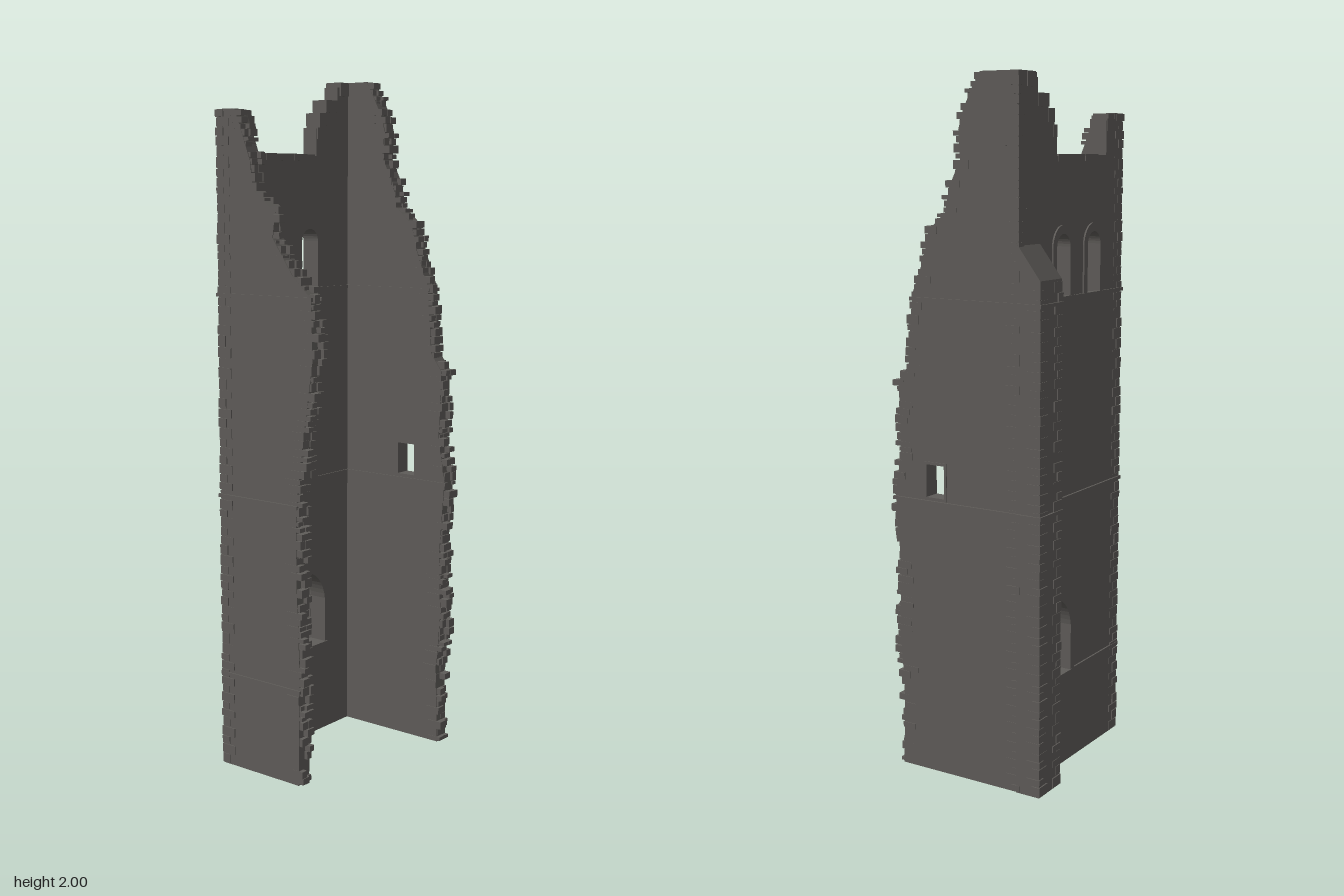
import * as THREE from 'three';
import { mergeGeometries } from 'three/addons/utils/BufferGeometryUtils.js';

// wall planes
const OUT = 0.287, INN = 0.24, BACK = -0.187, FACE = -0.136;

// front edge of each ruined side wall: [height, z]
const rightEdge = [[0, 0.215], [0.23, 0.215], [0.4, 0.228], [0.6, 0.222], [0.82, 0.238], [0.95, 0.215],
  [1.15, 0.222], [1.2, 0.185], [1.4, 0.17], [1.5, 0.13], [1.58, 0.11], [1.63, 0.055], [1.7, 0.04],
  [1.77, 0.005], [1.85, 0.01], [1.9, -0.005], [1.95, -0.03], [2, -0.06]];
const leftEdge = [[0, 0.1], [0.35, 0.11], [0.6, 0.1], [0.8, 0.1], [1, 0.125], [1.22, 0.16], [1.39, 0.155],
  [1.45, 0.09], [1.55, 0.02], [1.62, 0.03], [1.68, -0.05], [1.76, -0.06], [1.85, -0.095], [1.9, -0.115]];

function edgeAt(edge, y) {
  for (let i = 1; i < edge.length; i++) {
    const [y0, z0] = edge[i - 1], [y1, z1] = edge[i];
    if (y <= y1) return z0 + (z1 - z0) * (y - y0) / (y1 - y0);
  }
  return edge[edge.length - 1][1];
}

let seed = 7;
function rand(a, b) {
  seed = (seed * 16807) % 2147483647;
  return a + (b - a) * seed / 2147483647;
}

// box given by its limits
function block(x0, x1, y0, y1, z0, z1) {
  return new THREE.BoxGeometry(x1 - x0, y1 - y0, z1 - z0)
    .translate((x0 + x1) / 2, (y0 + y1) / 2, (z0 + z1) / 2);
}

// arched outline; pointed or round head
function archPath(Type, cx, half, y0, spring, top, pointed) {
  const p = new Type();
  p.moveTo(cx - half, y0);
  p.lineTo(cx + half, y0);
  p.lineTo(cx + half, spring);
  if (pointed) {
    p.quadraticCurveTo(cx + half * 0.85, spring + (top - spring) * 0.7, cx, top);
    p.quadraticCurveTo(cx - half * 0.85, spring + (top - spring) * 0.7, cx - half, spring);
  } else {
    p.absellipse(cx, spring, half, top - spring, 0, Math.PI, false);
  }
  p.lineTo(cx - half, y0);
  return p;
}

function rectPath(Type, x0, x1, y0, y1) {
  return new Type([[x0, y0], [x1, y0], [x1, y1], [x0, y1]].map(p => new THREE.Vector2(...p)));
}

function extrude(shape, depth) {
  return new THREE.ExtrudeGeometry(shape, { depth, bevelEnabled: false, curveSegments: 8 });
}

// extrude a (-z, y) outline along x from x0 to x1
function extrudeX(shape, x0, x1) {
  return extrude(shape, x1 - x0).rotateY(Math.PI / 2).translate(x0, 0, 0);
}

export function createModel() {
  const tower = new THREE.Group();
  tower.name = 'ruinedTower';
  const stone = new THREE.MeshStandardMaterial({ color: 0x5f5c59 });
  stone.name = 'weatheredStone';
  const add = (name, ...geos) => {
    const geo = geos.length > 1 ? mergeGeometries(geos.map(g => g.index ? g.toNonIndexed() : g)) : geos[0];
    const mesh = new THREE.Mesh(geo, stone);
    mesh.name = name;
    tower.add(mesh);
  };

  // back wall with broken top, twin belfry windows and pointed doorway
  const openings = [[-0.115, 0.037, 1.39, 1.53, 1.567, false], [0.058, 0.037, 1.39, 1.53, 1.567, false],
    [0.066, 0.061, 0.28, 0.42, 0.51, true]];
  const outline = [[-OUT, 0], [OUT, 0], [OUT, 2], [0.2, 2], [0.2, 1.985], [0.19, 1.985], [0.19, 1.94], [0.135, 1.94],
    [0.135, 1.9], [0.105, 1.9], [0.105, 1.86], [0.09, 1.86], [0.09, 1.78], [-0.19, 1.78],
    [-0.19, 1.88], [-0.2, 1.88], [-0.2, 1.9], [-OUT, 1.9]];
  const backShape = new THREE.Shape(outline.map(p => new THREE.Vector2(...p)));
  for (const o of openings) backShape.holes.push(archPath(THREE.Path, ...o));
  add('backWall', extrude(backShape, FACE - BACK).translate(0, 0, BACK));

  // raised surrounds on the outer face
  openings.forEach(([cx, half, y0, spring, top, pointed], i) => {
    const ring = archPath(THREE.Shape, cx, half + 0.02, y0, spring, top + 0.025, pointed);
    ring.holes.push(archPath(THREE.Path, cx, half, y0 + 0.0005, spring, top, pointed));
    add(i < 2 ? 'windowSurround' : 'doorSurround', extrude(ring, 0.006).translate(0, 0, BACK - 0.005));
  });
  add('doorSill', block(-0.005, 0.137, 0.268, 0.281, BACK - 0.006, FACE + 0.004));

  // side walls following their broken edges
  function sideWall(name, edge, x0, x1, hole) {
    const pts = [[-FACE, 0], [-FACE, edge[edge.length - 1][0]]];
    for (const [y, z] of [...edge].reverse()) pts.push([-z + (y > 0 ? 0.006 : 0), y]);
    const shape = new THREE.Shape(pts.map(p => new THREE.Vector2(...p)));
    if (hole) shape.holes.push(hole);
    add(name, extrudeX(shape, x0, x1));
  }
  sideWall('rightWall', rightEdge, INN, OUT, rectPath(THREE.Path, -0.12, -0.06, 0.825, 0.92));
  sideWall('leftWall', leftEdge, -OUT, -INN);
  const frame = rectPath(THREE.Shape, -0.128, -0.052, 0.817, 0.928);
  frame.holes.push(rectPath(THREE.Path, -0.12, -0.06, 0.825, 0.92));
  add('slitWindowSurround', extrudeX(frame, OUT - 0.001, OUT + 0.003));

  // ragged stones toothing out of the broken edges
  function toothing(name, edge, x0, x1) {
    const stones = [], top = edge[edge.length - 1][0];
    for (let y = 0.004; y < top - 0.012;) {
      const h = Math.min(rand(0.014, 0.028), top - y);
      const split = x0 + (x1 - x0) * rand(0.35, 0.65);
      for (const [a, b] of [[x0 + rand(-0.003, 0.003), split], [split, x1 + rand(-0.003, 0.003)]]) {
        const z = edgeAt(edge, y + h / 2) + rand(-0.008, 0.018);
        stones.push(block(a, b, y, y + h - rand(0.001, 0.005), Math.max(z - rand(0.035, 0.055), FACE), z));
      }
      y += h;
    }
    add(name, ...stones);
  }
  toothing('rightBrokenEdge', rightEdge, INN, OUT);
  toothing('leftBrokenEdge', leftEdge, -OUT, -INN);

  // loose stones along the broken top of the back wall
  const rubble = [];
  for (let x = -0.19; x < 0.08;) {
    const w = Math.min(rand(0.03, 0.075), 0.09 - x);
    rubble.push(block(x, x + w, 1.765, 1.78 + rand(0.001, 0.007), BACK - rand(0, 0.003), FACE + rand(0, 0.004)));
    x += w;
  }
  for (const [x0, x1, y] of [[0.092, 0.11, 1.86], [0.105, 0.137, 1.9], [0.135, 0.19, 1.94],
    [0.2, 0.245, 1.99], [-0.235, -0.192, 1.88], [-0.285, -0.235, 1.895]]) {
    rubble.push(block(x0, x1, y - 0.03, y + rand(0.002, 0.008), BACK - 0.002, FACE + rand(0.001, 0.005)));
  }
  add('wallTopStones', ...rubble);

  // corner buttress with sloped cap
  const B0 = 0.178, B1 = 0.29, BZ = -0.256;
  const buttress = new THREE.Shape([[0.18, 0], [-BZ, 0], [-BZ, 1.455], [0.18, 1.555]].map(p => new THREE.Vector2(...p)));
  add('buttress', extrudeX(buttress, B0, B1));

  // alternating quoins; sx points from the corner into the wall
  function quoins(name, x, z, sx, top, reach) {
    const stones = [];
    let long = true;
    for (let y = 0.003; y < top - 0.02;) {
      const h = rand(0.02, 0.034), p = rand(0.001, 0.004);
      const lx = reach * (long ? 1 : 0.55), lz = reach * (long ? 0.55 : 1);
      const xa = x - sx * p, xb = x + sx * lx;
      stones.push(block(Math.min(xa, xb), Math.max(xa, xb), y, Math.min(y + h - 0.003, top), z - p, z + lz));
      y += h;
      long = !long;
    }
    add(name, ...stones);
  }
  quoins('cornerQuoins', -OUT, BACK, 1, 1.9, 0.045);
  quoins('buttressQuoins', B0, BZ, 1, 1.45, 0.04);
  quoins('buttressQuoins', B1, BZ, -1, 1.45, 0.04);
  quoins('upperCornerQuoins', OUT, BACK, -1, 2, 0.04);

  // thin string courses inside and out
  const t = 0.006;
  for (const y of [0.81, 1.388]) {
    const a = y - 0.005, b = y + 0.005;
    const zr = edgeAt(rightEdge, y), zl = edgeAt(leftEdge, y);
    add('stringCourse',
      block(-OUT - t, B0, a, b, BACK - t, BACK + 0.01),
      block(-OUT - t, -OUT + 0.01, a, b, BACK, zl),
      block(OUT - 0.01, OUT + t, a, b, BACK, zr),
      block(B0 - t, B1 + t, a, b, BZ - t, BACK),
      block(-INN, INN, a, b, FACE - 0.01, FACE + 0.004),
      block(-INN - 0.01, -INN + 0.004, a, b, FACE, zl),
      block(INN - 0.004, INN + 0.01, a, b, FACE, zr));
  }

  // low plinth course on the outer back and left faces
  add('plinthCourse',
    block(-OUT - 0.004, 0, 0.274, 0.283, BACK - 0.005, BACK + 0.01),
    block(0.13, B0, 0.274, 0.283, BACK - 0.005, BACK + 0.01),
    block(-OUT - 0.004, -OUT + 0.01, 0.274, 0.283, BACK, edgeAt(leftEdge, 0.28)));

  return tower;
}
